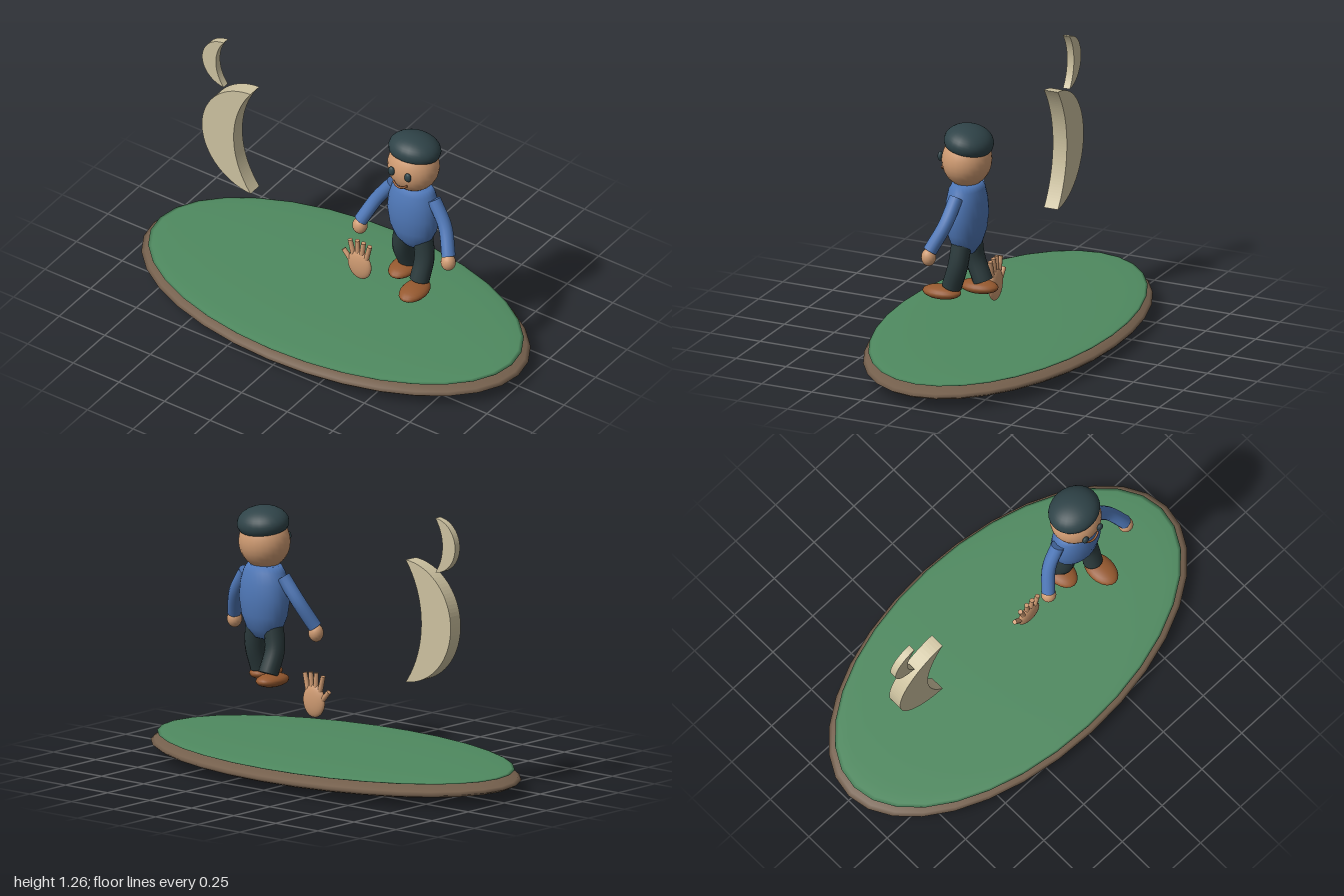
import * as THREE from 'three';

const mat = (color) => new THREE.MeshStandardMaterial({ color, side: THREE.DoubleSide });
const v = (a) => new THREE.Vector3(...a);

function add(parent, name, geometry, material, pos = [0, 0, 0]) {
  const mesh = new THREE.Mesh(geometry, material);
  mesh.name = name;
  mesh.position.set(...pos);
  parent.add(mesh);
  return mesh;
}

function ellipsoid(parent, name, material, pos, radii, w = 24, h = 16) {
  const mesh = add(parent, name, new THREE.SphereGeometry(1, w, h), material, pos);
  mesh.scale.set(...radii);
  return mesh;
}

// Round limb along a smooth path, closed with flat discs
function limb(parent, name, material, points, radius) {
  const curve = new THREE.CatmullRomCurve3(points.map(v));
  const group = new THREE.Group();
  group.name = name;
  parent.add(group);
  add(group, name + 'Tube', new THREE.TubeGeometry(curve, 14, radius, 14), material);
  for (const t of [0, 1]) {
    const disc = add(group, name + 'End', new THREE.CircleGeometry(radius, 14), material, curve.getPoint(t).toArray());
    const dir = curve.getTangent(t).multiplyScalar(t ? 1 : -1);
    disc.quaternion.setFromUnitVectors(new THREE.Vector3(0, 0, 1), dir);
  }
  return group;
}

// Crescent: outer arc on the left, shallower inner arc; both meet at the tips
function crescent(parent, name, material, [tipX, y], half, outer, inner, depth) {
  const arc = (sagitta) => {
    const r = (half * half + sagitta * sagitta) / (2 * sagitta);
    const cx = tipX - sagitta + r;
    const a = Math.atan2(half, tipX - cx);
    return { r, cx, a };
  };
  const o = arc(outer), i = arc(inner);
  const shape = new THREE.Shape();
  shape.absarc(o.cx, y, o.r, o.a, 2 * Math.PI - o.a, false);
  shape.absarc(i.cx, y, i.r, 2 * Math.PI - i.a, i.a, true);
  const geo = new THREE.ExtrudeGeometry(shape, { depth, bevelEnabled: false, curveSegments: 24 });
  add(parent, name, geo, material, [0, 0, -depth / 2]);
}

export function createModel() {
  const model = new THREE.Group();
  model.name = 'model';
  const skin = mat(0xcf9b72), blue = mat(0x4f78b8), dark = mat(0x2f4348), trousers = mat(0x2b3a3c);
  const leather = mat(0x96592f), grass = mat(0x4f8a60), earth = mat(0x75604d), bone = mat(0xcdc2a0);

  // Floating ground
  ellipsoid(model, 'earthDisc', earth, [0, 0.06, 0], [1, 0.06, 0.543], 32, 16);
  ellipsoid(model, 'grassDisc', grass, [0, 0.105, 0], [0.965, 0.018, 0.523], 32, 16);

  // Two crescents
  crescent(model, 'largeCrescent', bone, [-0.444, 0.768], 0.282, 0.267, 0.093, 0.07);
  crescent(model, 'smallCrescent', bone, [-0.604, 1.136], 0.126, 0.118, 0.043, 0.034);

  // Walking figure
  const figure = new THREE.Group();
  figure.name = 'figure';
  figure.position.x = 0.425;
  model.add(figure);

  const profile = [[0, 0.553], [0.05, 0.566], [0.092, 0.61], [0.118, 0.67], [0.13, 0.75],
    [0.123, 0.82], [0.107, 0.875], [0.088, 0.903], [0, 0.906]];
  const torso = add(figure, 'torso',
    new THREE.LatheGeometry(profile.map(([x, y]) => new THREE.Vector2(x, y)), 28), blue);
  torso.scale.z = 0.71;

  ellipsoid(figure, 'head', skin, [0, 1.01, 0], [0.122, 0.125, 0.113]);
  const cap = add(figure, 'cap', new THREE.SphereGeometry(1, 24, 14, 0, Math.PI * 2, 0, Math.PI * 0.62),
    dark, [0, 1.097, -0.01]);
  cap.scale.set(0.124, 0.074, 0.112);
  cap.rotation.x = -0.2;

  // Face
  for (const s of [-1, 1]) {
    ellipsoid(figure, 'eye', dark, [0.045 * s, 1.022, 0.111], [0.017, 0.023, 0.012], 16, 12);
  }
  limb(figure, 'mouth', leather, [[-0.038, 0.968, 0.106], [-0.02, 0.956, 0.113], [0, 0.952, 0.116],
    [0.02, 0.956, 0.113], [0.038, 0.968, 0.106]], 0.005);

  // Arms and legs; the left foot steps forward
  for (const s of [-1, 1]) {
    limb(figure, 'sleeve', blue, [[0.112 * s, 0.858, 0], [0.187 * s, 0.748, 0.02], [0.24 * s, 0.635, 0.07]], 0.032);
    ellipsoid(figure, 'hand', skin, [0.242 * s, 0.606, 0.075], [0.035, 0.041, 0.034], 16, 12);
    const step = s > 0 ? 0.045 : -0.05;
    const ankle = [0.064 * s, 0.412, step];
    limb(figure, 'trouserLeg', trousers,
      [[0.05 * s, 0.64, 0], [0.068 * s, 0.52, s > 0 ? 0.012 : -0.008], ankle], 0.046);
    ellipsoid(figure, 'shoe', leather, [0.07 * s, 0.382, s > 0 ? 0.092 : -0.027], [0.061, 0.031, 0.093], 20, 12);
  }

  // Large waving hand
  const hand = new THREE.Group();
  hand.name = 'openHand';
  model.add(hand);
  ellipsoid(hand, 'palm', skin, [0.13, 0.313, 0], [0.063, 0.077, 0.022]);
  const fingers = [[0.1, 0.34, 0.077, 0.432], [0.12, 0.35, 0.117, 0.443], [0.14, 0.35, 0.151, 0.443],
    [0.162, 0.34, 0.185, 0.437], [0.1, 0.3, 0.042, 0.365]];
  fingers.forEach(([x0, y0, x1, y1], k) => {
    const length = Math.hypot(x1 - x0, y1 - y0);
    const finger = add(hand, k < 4 ? 'finger' : 'thumb', new THREE.CylinderGeometry(0.011, 0.013, length, 12),
      skin, [(x0 + x1) / 2, (y0 + y1) / 2, 0]);
    finger.rotation.z = Math.atan2(x0 - x1, y1 - y0);
  });

  return model;
}
